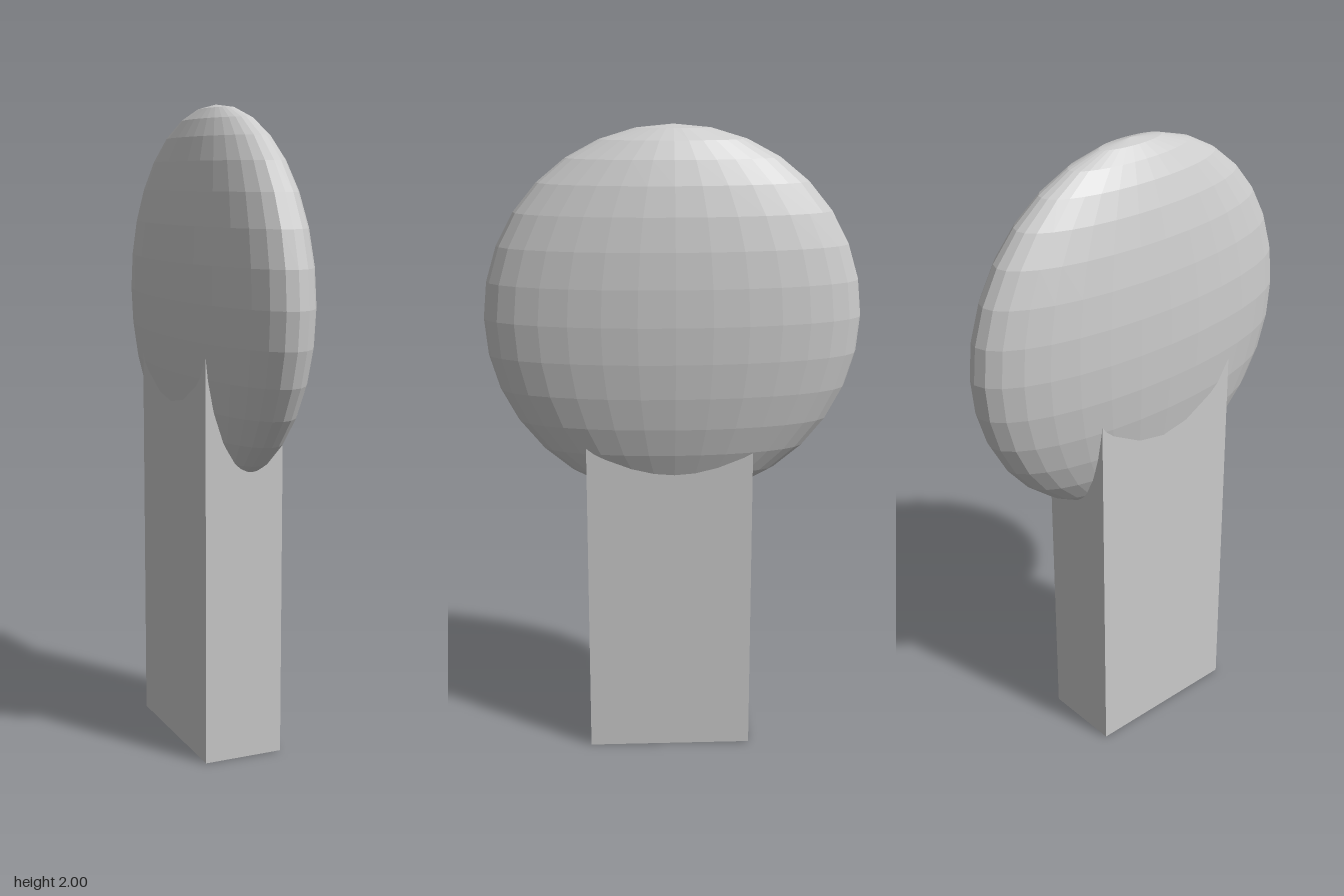
import * as THREE from 'three';

export function createModel() {
  const group = new THREE.Group();
  const material = new THREE.MeshStandardMaterial({ color: 0xcccccc, flatShading: true });

  // Flattened ball on top: a faceted sphere squeezed along x
  const crown = new THREE.Mesh(new THREE.SphereGeometry(1, 32, 16), material);
  crown.name = 'crown';
  crown.scale.set(0.183, 0.583, 0.583);
  crown.position.set(0, 1.417, 0);
  group.add(crown);

  // Slightly off-centre rectangular trunk, its top sunk inside the crown
  const trunkHeight = 1.38;
  const trunk = new THREE.Mesh(new THREE.BoxGeometry(0.254, trunkHeight, 0.52), material);
  trunk.name = 'trunk';
  trunk.position.set(-0.025, trunkHeight / 2, 0.015);
  group.add(trunk);

  return group;
}
